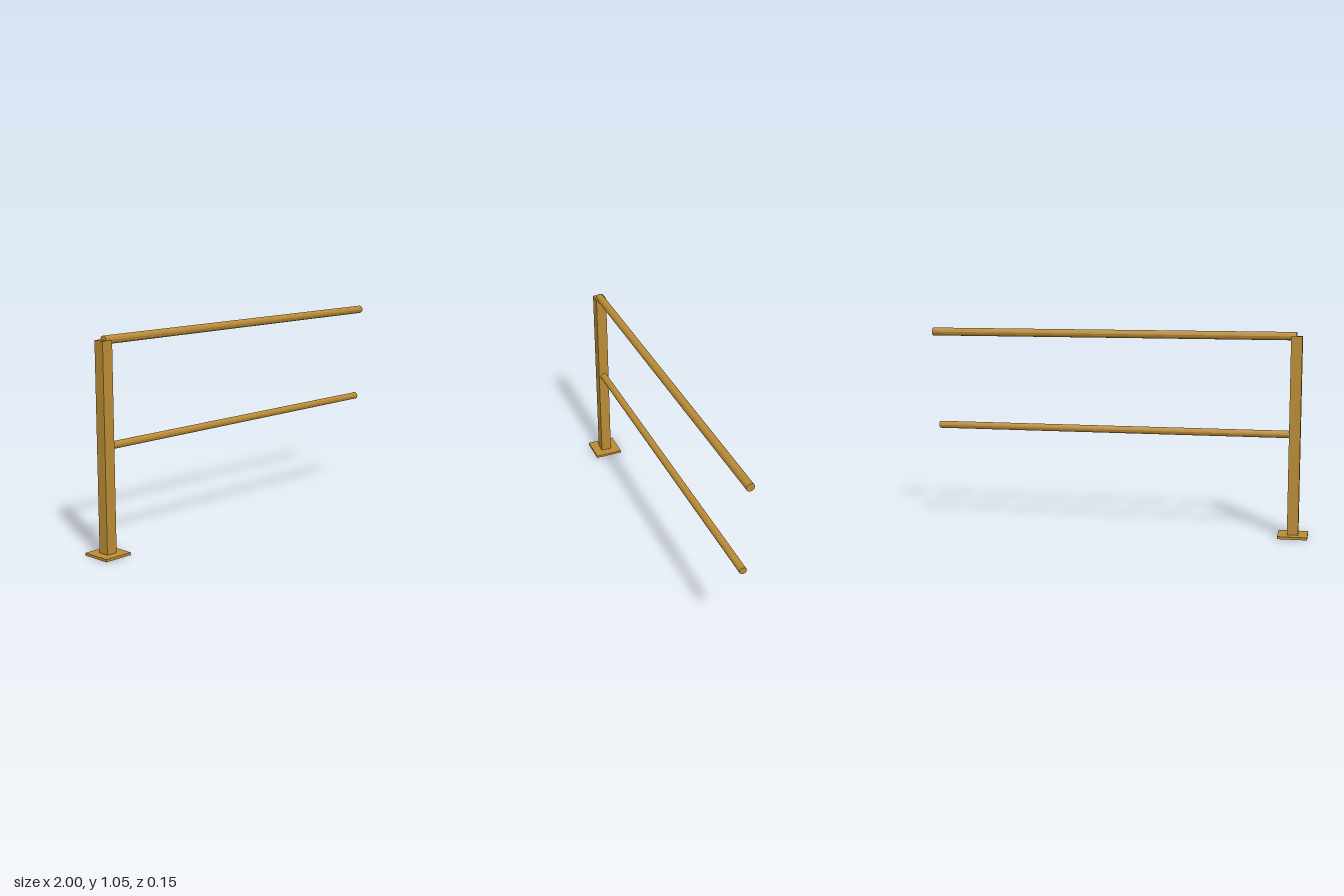
import * as THREE from 'three';

export function createModel() {
  const group = new THREE.Group();
  const brass = new THREE.MeshStandardMaterial({ color: 0xb98b35, flatShading: true });
  brass.name = 'brass';
  const postX = -0.924;

  const add = (name, geometry, x, y) => {
    const mesh = new THREE.Mesh(geometry, brass);
    mesh.name = name;
    mesh.position.set(x, y, 0);
    group.add(mesh);
  };

  // Horizontal round rail running from x0 to x1
  const addRail = (name, radius, x0, x1, y) => {
    const rail = new THREE.CylinderGeometry(radius, radius, x1 - x0, 12);
    rail.rotateZ(-Math.PI / 2);
    add(name, rail, (x0 + x1) / 2, y);
  };

  // Floor plate and square post
  add('basePlate', new THREE.BoxGeometry(0.152, 0.013, 0.152), postX, 0.0065);
  add('post', new THREE.BoxGeometry(0.057, 1.018, 0.057), postX, 0.521);

  // Top rail sinks halfway into the post; the lower rail meets its side
  addRail('topRail', 0.021, postX, 1, 1.03);
  addRail('middleRail', 0.019, postX + 0.0285, 0.97, 0.53);

  return group;
}
